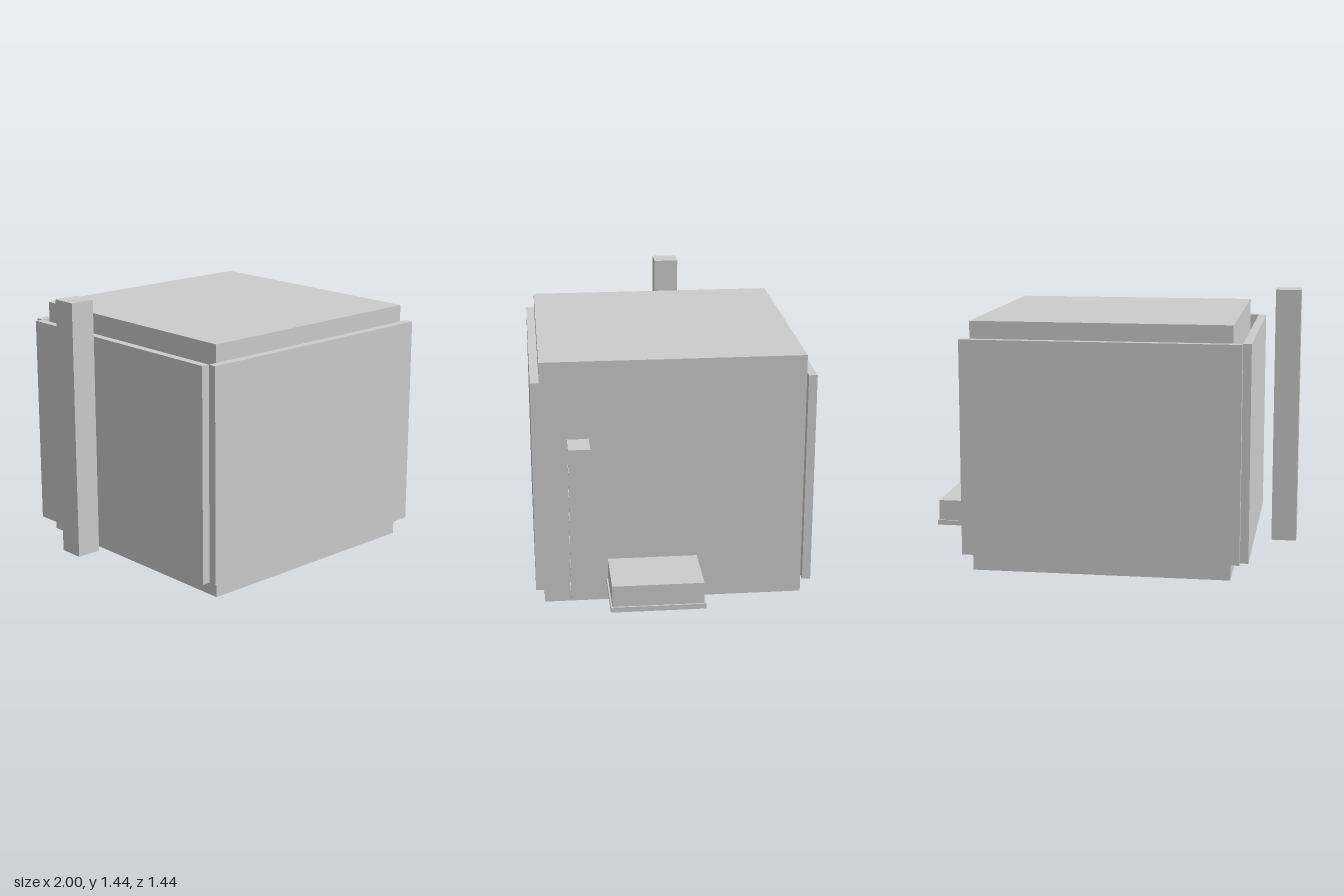
import * as THREE from 'three';

export function createModel() {
  const model = new THREE.Group();
  model.name = 'house';
  const grey = new THREE.MeshStandardMaterial({ color: 0xcccccc });
  grey.name = 'light grey';

  // Box given by its extents along each axis
  function box(name, [x0, x1], [y0, y1], [z0, z1], parent = model) {
    const mesh = new THREE.Mesh(new THREE.BoxGeometry(x1 - x0, y1 - y0, z1 - z0), grey);
    mesh.position.set((x0 + x1) / 2, (y0 + y1) / 2, (z0 + z1) / 2);
    mesh.name = name;
    parent.add(mesh);
    return mesh;
  }

  // Main block
  box('body', [-0.685, 0.657], [0, 1.306], [-0.676, 0.672]);

  // Cladding panels; the side one stands off with a gap
  const wallY = [0.092, 1.215];
  box('frontPanel', [-0.733, 0.705], wallY, [0.672, 0.717]);
  box('backPanel', [-0.733, 0.705], wallY, [-0.72, -0.676]);
  box('sidePanel', [-0.776, -0.733], wallY, [-0.676, 0.672]);

  // Free-standing chimney
  box('chimney', [-1, -0.868], [0.092, 1.44], [-0.182, -0.047]);

  // Shelf unit, open to the front
  const shelves = new THREE.Group();
  shelves.name = 'shelfUnit';
  model.add(shelves);
  box('shelfSide', [0.807, 0.817], [0.092, 0.9], [0.429, 0.54], shelves);
  box('shelfBack', [0.657, 0.807], [0.092, 0.9], [0.429, 0.437], shelves);
  for (let i = 0; i < 7; i++) {
    const y = 0.094 + i * 0.1325;
    box('shelf' + (i + 1), [0.657, 0.807], [y, y + 0.009], [0.437, 0.54], shelves);
  }

  // Low bench with its cushion
  box('benchBase', [0.657, 0.997], [0.092, 0.119], [-0.133, 0.349]);
  box('benchCushion', [0.657, 0.988], [0.119, 0.231], [-0.124, 0.341]);

  return model;
}
